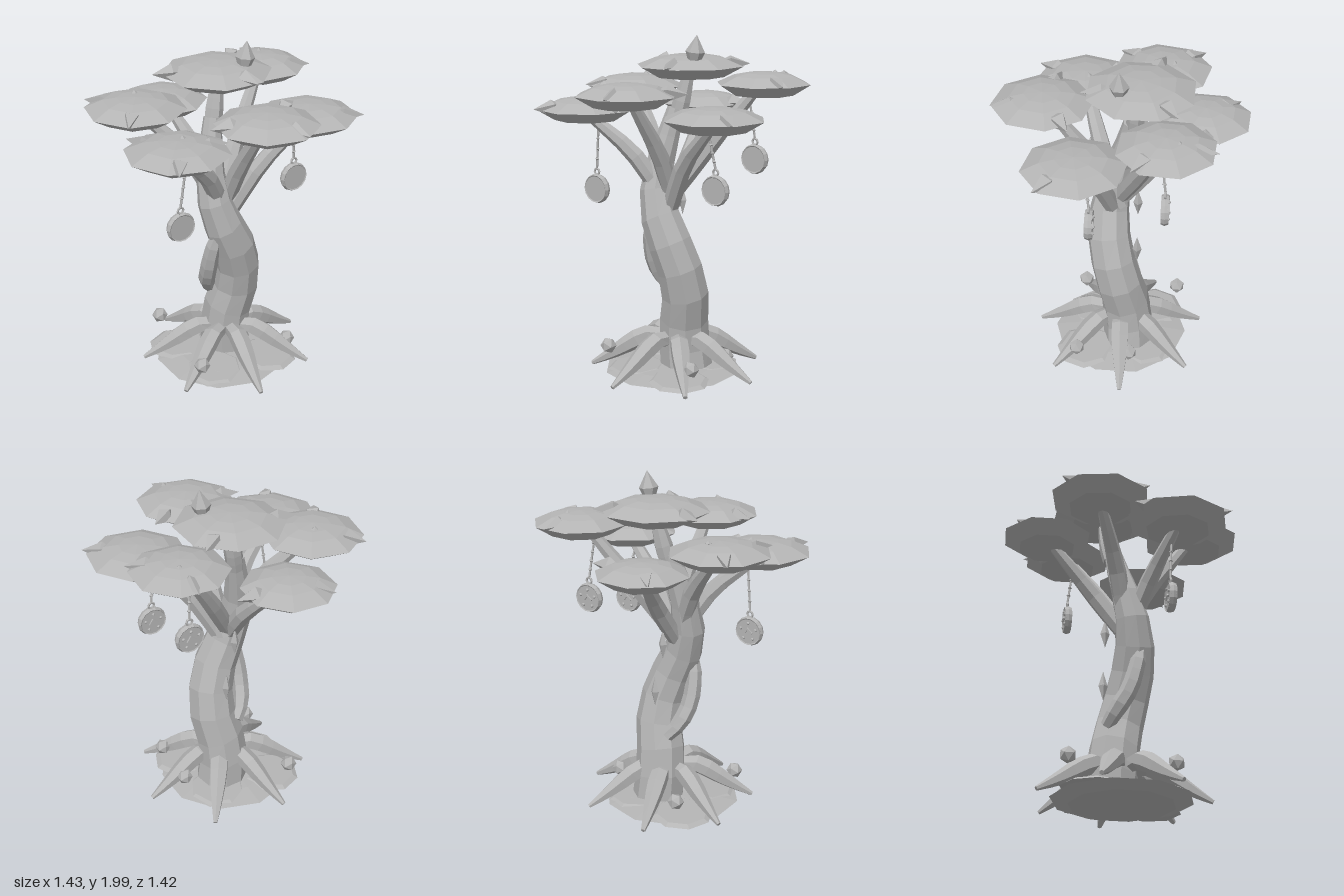
import * as THREE from 'three';

const stone = new THREE.MeshStandardMaterial({ color: 0xb4b4b4, flatShading: true });
stone.name = 'stone grey';
const V = (p) => new THREE.Vector3(...p);

function add(parent, name, geometry, pos = [0, 0, 0]) {
  const mesh = new THREE.Mesh(geometry, stone);
  mesh.name = name;
  mesh.position.set(...pos);
  parent.add(mesh);
  return mesh;
}

// Closed tube along a curve, its radius interpolated through a list
function taperedTube(points, radii, segments, sides) {
  const curve = new THREE.CatmullRomCurve3(points.map(V));
  const rings = segments + 2; // first and last rings collapse into end caps
  const geo = new THREE.TubeGeometry(curve, rings, 1, sides);
  const pos = geo.attributes.position;
  const v = new THREE.Vector3();
  for (let k = 0; k <= rings; k++) {
    const from = curve.getPointAt(k / rings);
    const t = Math.min(Math.max((k - 1) / segments, 0), 1);
    const to = curve.getPointAt(t);
    const f = t * (radii.length - 1), i = Math.min(Math.floor(f), radii.length - 2);
    const r = k === 0 || k === rings ? 0 : THREE.MathUtils.lerp(radii[i], radii[i + 1], f - i);
    for (let j = 0; j <= sides; j++) {
      const n = k * (sides + 1) + j;
      v.fromBufferAttribute(pos, n).sub(from).multiplyScalar(r).add(to);
      pos.setXYZ(n, v.x, v.y, v.z);
    }
  }
  geo.computeVertexNormals();
  return geo;
}

const lathe = (profile, sides) =>
  new THREE.LatheGeometry(profile.map(([x, y]) => new THREE.Vector2(x, y)), sides);

// Four-sided double-ended thorn running from one point to another
function thorn(parent, from, to, width, widest) {
  const a = V(from), b = V(to), dir = b.clone().sub(a), len = dir.length();
  const geo = lathe([[0, 0], [width, len * widest], [0, len]], 4);
  const mesh = add(parent, 'thorn', geo, from);
  mesh.quaternion.setFromUnitVectors(new THREE.Vector3(0, 1, 0), dir.normalize());
}

// Canopies: centre, radius, turn in degrees, thorn tips as [x, z]
const canopies = [
  { at: [0.04, 1.815, -0.113], r: 0.31, turn: 22, tips: [[-0.31, -0.23], [0.31, -0.325], [0.1, 0.21]] },
  { at: [0.01, 1.695, 0.425], r: 0.285, turn: 10, tips: [[-0.3, 0.355], [0.3, 0.255], [0.085, 0.705]] },
  { at: [-0.43, 1.57, 0.24], r: 0.29, turn: 5, tips: [[-0.585, -0.04], [-0.585, 0.52], [-0.15, 0.3]] },
  { at: [-0.43, 1.665, -0.205], r: 0.285, turn: 10, tips: [[-0.62, -0.45], [-0.61, 0.045]] },
  { at: [0.435, 1.577, 0.21], r: 0.285, turn: 12, tips: [[0.685, 0.4]] },
  { at: [0.435, 1.725, -0.27], r: 0.27, turn: 18, tips: [[0.475, -0.545], [0.67, -0.1]] },
  { at: [-0.11, 1.56, -0.465], r: 0.26, turn: 18, tips: [[-0.28, -0.66], [0.21, -0.465]] },
];

function addCanopy(tree, { at: [x, y, z], r, turn, tips }) {
  const group = new THREE.Group();
  group.name = 'canopy';
  tree.add(group);
  const cap = lathe([[0, -0.062], [0.64 * r, -0.062], [r, 0], [0.64 * r, 0.045], [0.36 * r, 0.06], [0, 0.066]], 8);
  add(group, 'canopyCap', cap, [x, y, z]).rotation.y = THREE.MathUtils.degToRad(turn);
  for (const [tx, tz] of tips) {
    const len = Math.hypot(tx - x, tz - z), ux = (tx - x) / len, uz = (tz - z) / len;
    thorn(group, [tx - ux * 0.19, y + 0.016, tz - uz * 0.19], [tx, y + 0.01, tz], 0.05, 0.4);
  }
}

// Hanging disc with raised rim, ring, chain and studded back
function addMedallion(tree, [x, y, z], [tx, ty, tz]) {
  const group = new THREE.Group();
  group.name = 'medallion';
  group.position.set(x, y, z);
  tree.add(group);
  add(group, 'disc', new THREE.CylinderGeometry(0.08, 0.08, 0.034, 14)).rotation.x = Math.PI / 2;
  add(group, 'rim', new THREE.TorusGeometry(0.076, 0.011, 5, 14)).scale.z = 2;
  add(group, 'ring', new THREE.TorusGeometry(0.018, 0.007, 5, 8), [0, 0.1, 0]);
  for (let i = 0; i < 5; i++) {
    const a = (i / 5) * Math.PI * 2 + 0.3;
    add(group, 'stud', new THREE.IcosahedronGeometry(0.01), [Math.cos(a) * 0.05, Math.sin(a) * 0.05, -0.02]);
  }
  for (const [px, turn] of [[0.012, 0.6], [-0.012, -0.9]])
    add(group, 'bar', new THREE.BoxGeometry(0.01, 0.04, 0.012), [px, 0.005, -0.02]).rotation.z = turn;
  const start = [0, 0.115, 0], end = [tx - x, ty - y, tz - z];
  const mid = V(start).lerp(V(end), 0.5).toArray();
  add(group, 'chain', taperedTube([start, mid, end], [0.007, 0.007], 2, 5));
  for (let i = 1; i < 6; i++)
    add(group, 'chainLink', new THREE.OctahedronGeometry(0.014), V(start).lerp(V(end), i / 5).toArray());
}

export function createModel() {
  const tree = new THREE.Group();
  tree.name = 'tree';

  // Ground disc with thin overlapping plates, two of them reaching past its rim
  add(tree, 'groundDisc', lathe([[0, 0.01], [0.3, 0.01], [0.4, 0.042], [0.26, 0.062], [0, 0.07]], 10));
  for (let i = 0; i < 4; i++) {
    const a = ((i + 0.5) * Math.PI) / 2, d = i % 2 ? 0.21 : 0.275;
    const plate = add(tree, 'groundPlate', new THREE.CylinderGeometry(0.15, 0.18, 0.016, 8),
      [Math.cos(a) * d, 0.056, Math.sin(a) * d]);
    plate.rotation.set(0.05 * Math.sin(a), 0, -0.05 * Math.cos(a));
  }

  // Twisting trunk and the vine on its right side
  add(tree, 'trunk', taperedTube(
    [[0.065, 0.03, -0.055], [0.05, 0.28, -0.043], [0.093, 0.5, 0], [0.082, 0.67, 0.04], [0.022, 0.84, 0.068],
      [-0.06, 1.02, 0.06], [-0.085, 1.2, 0.02], [-0.055, 1.4, -0.03], [-0.02, 1.57, -0.065]],
    [0.155, 0.148, 0.141, 0.133, 0.126, 0.112, 0.09, 0.07, 0.052], 10, 9));
  add(tree, 'vine', taperedTube(
    [[-0.07, 0.97, 0.1], [-0.105, 0.82, 0.07], [-0.108, 0.65, 0.02], [-0.075, 0.53, -0.05], [-0.02, 0.46, -0.09]],
    [0.025, 0.045, 0.05, 0.05, 0.038], 8, 6));

  // Branches: root, bend, tip
  const branches = [
    [[-0.02, 1.5, -0.07], [0.01, 1.64, -0.09], [0.04, 1.78, -0.11]],
    [[0.01, 1.02, 0], [0.02, 1.3, 0.13], [0.015, 1.66, 0.39]],
    [[-0.05, 1.1, 0.05], [-0.18, 1.32, 0.13], [-0.42, 1.53, 0.23]],
    [[-0.06, 1.12, 0], [-0.17, 1.36, -0.06], [-0.4, 1.63, -0.19]],
    [[0.03, 1.03, 0.05], [0.18, 1.3, 0.12], [0.42, 1.54, 0.2]],
    [[0, 1.08, 0], [0.17, 1.36, -0.12], [0.4, 1.69, -0.25]],
    [[-0.03, 1.05, -0.01], [-0.02, 1.26, -0.17], [-0.09, 1.52, -0.42]],
  ];
  for (const b of branches) add(tree, 'branch', taperedTube(b, [0.048, 0.054, 0.044, 0.03], 5, 7));
  canopies.forEach((c) => addCanopy(tree, c));

  // Seven arched roots
  for (let i = 0; i < 7; i++) {
    const a = 0.83 + (i * Math.PI * 2) / 7, c = Math.cos(a), s = Math.sin(a);
    const path = [[0.08, 0.235], [0.17, 0.24], [0.27, 0.185], [0.39, 0.11], [0.505, 0.045]]
      .map(([r, y]) => [0.03 + c * r, y, s * r]);
    add(tree, 'root', taperedTube(path, [0.046, 0.06, 0.051, 0.034, 0.013], 6, 6));
  }

  // Gems among the roots
  for (const p of [[-0.29, 0.175, 0.24], [0.31, 0.155, 0.24], [0.33, 0.155, -0.075], [-0.24, 0.2, -0.335]])
    add(tree, 'rootGem', new THREE.IcosahedronGeometry(0.048), p);

  // Crown crystal and small buds on the canopies
  const crown = lathe([[0, 0], [0.034, 0], [0.055, 0.055], [0, 0.15]], 6);
  add(tree, 'crownCrystal', crown, [0.148, 1.85, -0.005]).rotation.z = -0.12;
  for (const p of [[-0.4, 1.715, -0.27], [-0.385, 1.62, 0.215], [0.47, 1.77, -0.335]])
    add(tree, 'bud', lathe([[0, 0], [0.02, 0.012], [0, 0.03]], 5), p);

  // Thorns on the back of the trunk
  thorn(tree, [0.055, 0.64, -0.1], [0.055, 0.82, -0.1], 0.027, 0.5);
  thorn(tree, [0, 0.945, -0.1], [0, 1.12, -0.1], 0.027, 0.5);

  addMedallion(tree, [-0.395, 1.1, 0.2], [-0.36, 1.52, 0.22]);
  addMedallion(tree, [0.4, 1.175, 0.14], [0.365, 1.52, 0.17]);
  addMedallion(tree, [0.385, 1.29, -0.27], [0.36, 1.66, -0.24]);
  return tree;
}
